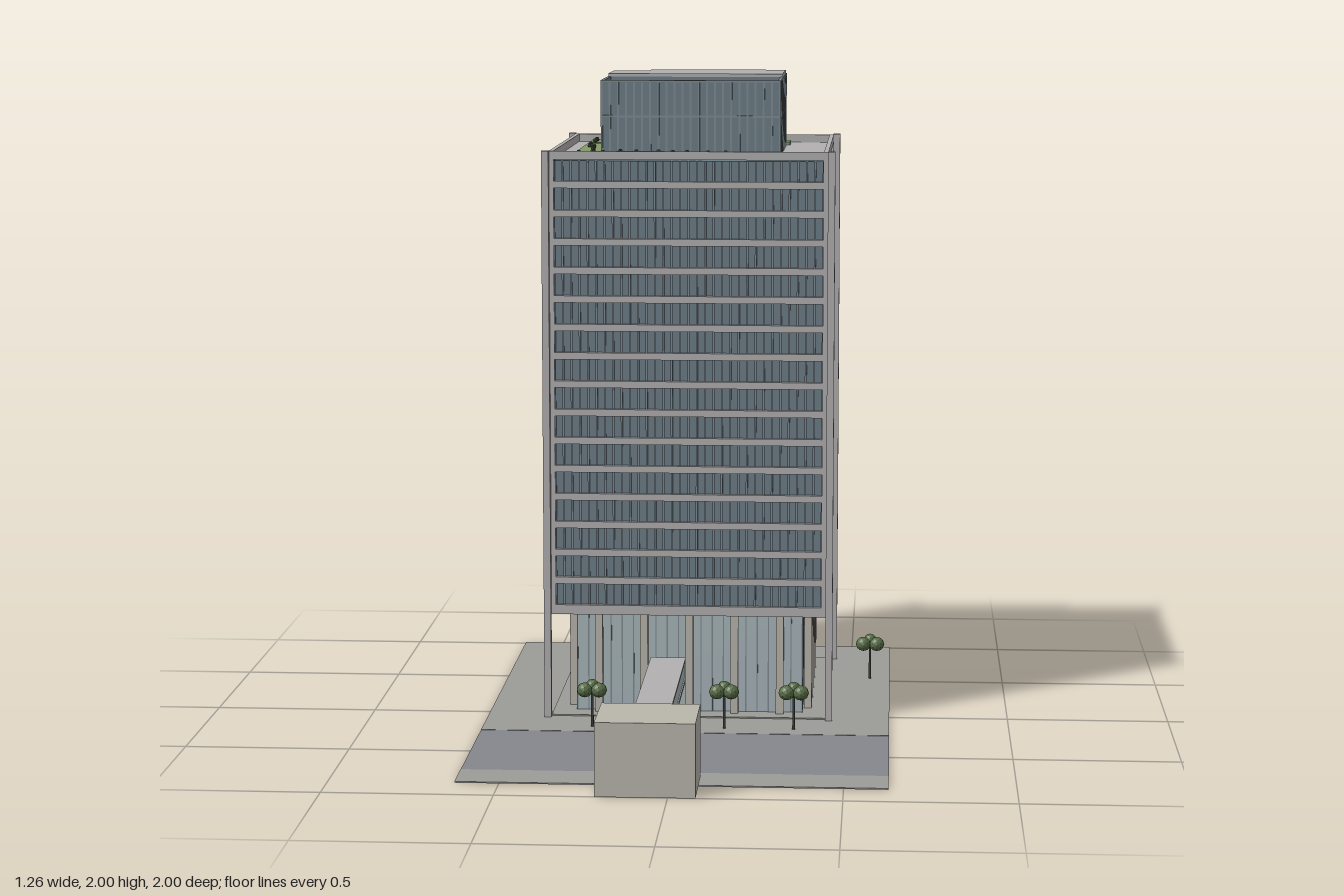
import * as THREE from 'three';
import { mergeGeometries } from 'three/addons/utils/BufferGeometryUtils.js';

const mat = (color, extra = {}) => new THREE.MeshStandardMaterial({ color, ...extra });
const M = {
  frame: mat(0xb2b0b0), glass: mat(0x6c7d87), fin: mat(0x7f8a90), lobby: mat(0xa9b7bb),
  stone: mat(0xb9b6ac), paving: mat(0x9b9b98), road: mat(0x86878d), roof: mat(0xb0b0b0),
  lawn: mat(0x84996a), shrub: mat(0x3f4a33), trunk: mat(0x3c3a34), unit: mat(0x8d8f92),
  leaf: mat(0x566b45, { flatShading: true }),
};
const CZ = -0.375;  // tower centre in z
const HALF = 0.43;  // half width of the facade
const TOP = 1.78, DECK = 1.755, SOFFIT = 0.33;

// box from min/max bounds
function span(x0, x1, y0, y1, z0, z1) {
  return new THREE.BoxGeometry(x1 - x0, y1 - y0, z1 - z0)
    .translate((x0 + x1) / 2, (y0 + y1) / 2, (z0 + z1) / 2);
}
// square-plan box around the tower axis
const ring = (h, y0, y1) => span(-h, h, y0, y1, CZ - h, CZ + h);

function add(group, name, material, geos) {
  const mesh = new THREE.Mesh(Array.isArray(geos) ? mergeGeometries(geos) : geos, material);
  mesh.name = name;
  group.add(mesh);
  return mesh;
}
// evenly spaced upright bars along a plan segment
function bars([x0, z0], [x1, z1], n, y0, y1, w) {
  return Array.from({ length: n + 1 }, (_, i) => {
    const x = x0 + (x1 - x0) * i / n, z = z0 + (z1 - z0) * i / n;
    return span(x - w / 2, x + w / 2, y0, y1, z - w / 2, z + w / 2);
  });
}
const corners = h => [[-h, CZ + h], [h, CZ + h], [h, CZ - h], [-h, CZ - h]];
// four walls of bars around the tower axis
function barRing(off, reach, n, y0, y1, w) {
  return [-1, 1].flatMap(s => [
    ...bars([-reach, CZ + s * off], [reach, CZ + s * off], n, y0, y1, w),
    ...bars([s * off, CZ - reach], [s * off, CZ + reach], n, y0, y1, w)]);
}
// plan outline raised between two heights
function prism(points, y0, y1) {
  const shape = new THREE.Shape(points.map(([x, z]) => new THREE.Vector2(x, -z)));
  return new THREE.ExtrudeGeometry(shape, { depth: y1 - y0, bevelEnabled: false })
    .rotateX(-Math.PI / 2).translate(0, y0, 0);
}

function site(g) {
  add(g, 'paving', M.paving, [span(-0.63, 0.63, 0, 0.004, -1, 0.25), span(-0.63, 0.63, 0, 0.004, 0.73, 0.87)]);
  add(g, 'road', M.road, span(-0.63, 0.63, 0, 0.003, 0.25, 0.73));
  add(g, 'plinth', M.paving, ring(0.43, 0.004, 0.008));
}

function tower(g) {
  // lobby
  add(g, 'lobbyGlass', M.lobby, ring(0.355, 0.008, SOFFIT));
  add(g, 'lobbyMullions', M.fin, barRing(0.355, 0.355, 20, 0.008, SOFFIT, 0.004));
  add(g, 'lobbyColumns', M.stone, barRing(0.372, 0.285, 4, 0.004, SOFFIT, 0.024));
  // office floors: glass core, slab edges, fins and corner posts
  const pitch = 0.0885, sill = 0.36, high = 0.067;
  add(g, 'officeGlass', M.glass, ring(HALF - 0.015, SOFFIT + 0.01, DECK - 0.005));
  const slabs = [ring(HALF, SOFFIT, sill)];
  for (let i = 0; i < 16; i++) {
    const y = sill + i * pitch + high;
    slabs.push(ring(HALF, y, i < 15 ? y + pitch - high : DECK));
  }
  add(g, 'floorBands', M.frame, slabs);
  add(g, 'windowFins', M.fin, barRing(HALF - 0.012, HALF - 0.015, 32, SOFFIT + 0.01, DECK - 0.005, 0.006));
  add(g, 'cornerPosts', M.frame, corners(HALF - 0.0075).flatMap(c => bars(c, c, 1, SOFFIT, DECK, 0.015)));
  add(g, 'cornerColumns', M.frame, corners(0.44).flatMap(c => bars(c, c, 1, 0, TOP + 0.002, 0.022)));
  // parapet
  add(g, 'parapet', M.frame, [-1, 1].flatMap(s => {
    const a = s * HALF, b = s * (HALF - 0.014), lo = Math.min(a, b), hi = Math.max(a, b);
    return [span(lo, hi, DECK, TOP, CZ - HALF, CZ + HALF),
      span(-HALF, HALF, DECK, TOP, CZ + lo, CZ + hi)];
  }));
}

function penthouse(g) {
  const top = 1.99, t = 0.008;
  const x0 = -0.28, x1 = 0.275, zf = -0.11, zm = -0.35, zb = -0.65, nx = -0.165, nz = -0.58;
  // enclosed rear part with a notched corner
  const rear = [[x0, zm], [x1, zm], [x1, zb], [nx, zb], [nx, nz], [x0, nz]];
  add(g, 'plantRoom', M.glass, prism(rear, DECK, top));
  add(g, 'plantRoomRoof', M.roof, prism(rear, top, 2));
  // open front yard with screen walls
  add(g, 'screenWalls', M.glass, [
    span(x0, x0 + t, DECK, top, zm, zf), span(x1 - t, x1, DECK, top, zm, zf), span(x0, x1, DECK, top, zf - t, zf)]);
  // fins and rails round the outline
  const outline = [[x0, zf], [x1, zf], [x1, zb], [nx, zb], [nx, nz], [x0, nz]];
  const fins = [], rails = [];
  outline.forEach((a, i) => {
    const b = outline[(i + 1) % outline.length];
    const len = Math.hypot(b[0] - a[0], b[1] - a[1]);
    fins.push(...bars(a, b, Math.round(len / 0.025), DECK, top, 0.006));
    for (const y of [1.875, top - 0.006]) {
      rails.push(span(Math.min(a[0], b[0]) - 0.003, Math.max(a[0], b[0]) + 0.003, y, y + 0.006,
        Math.min(a[1], b[1]) - 0.003, Math.max(a[1], b[1]) + 0.003));
    }
  });
  add(g, 'screenFins', M.fin, fins);
  add(g, 'screenRails', M.fin, rails);
  // cooling units in the yard
  [[-0.18, -0.27], [-0.08, -0.235], [0.075, -0.235], [0.165, -0.185]].forEach(([x, z], i) => {
    const w = i === 0 ? 0.026 : 0.032, d = i === 0 ? 0.034 : i === 3 ? 0.024 : 0.029;
    add(g, 'coolingUnit', M.unit, span(x - w, x + w, DECK, 1.81, z - d, z + d));
    add(g, 'coolingFan', M.roof, new THREE.CylinderGeometry(0.016, 0.016, 0.008, 16).translate(x, 1.814, z));
  });
}

function roofGarden(g) {
  const h = DECK + 0.01;
  const beds = [
    [[-0.365, -0.58], [-0.165, -0.58], [-0.165, -0.65], [-0.025, -0.65], [-0.025, -0.74], [-0.365, -0.74]],
    [[0.02, -0.65], [0.29, -0.65], [0.29, -0.74], [0.02, -0.74]],
    [[-0.365, -0.02], [0.19, -0.02], [0.19, -0.11], [-0.28, -0.11], [-0.28, -0.54], [-0.365, -0.54]],
  ];
  add(g, 'plantingBeds', M.lawn, beds.map(b => prism(b, DECK, h)));
  const shrubs = [[-0.345, -0.66], [-0.315, -0.71], [-0.345, -0.6], [-0.28, -0.62], [-0.235, -0.7], [-0.2, -0.69],
    [-0.12, -0.675], [0.035, -0.66], [0.065, -0.7], [0.125, -0.705], [0.21, -0.68], [-0.345, -0.44], [-0.34, -0.36],
    [-0.325, -0.33], [-0.32, -0.25], [-0.31, -0.14], [-0.305, -0.06], [-0.345, -0.035], [-0.27, -0.035],
    [-0.22, -0.085], [-0.17, -0.075], [-0.1, -0.07], [-0.055, -0.06], [-0.01, -0.05], [0.055, -0.045], [0.11, -0.035]];
  add(g, 'shrubs', M.shrub, shrubs.map(([x, z]) => new THREE.IcosahedronGeometry(0.009, 0).translate(x, h + 0.005, z)));
}

function bridge(g) {
  const x0 = -0.12, x1 = -0.01, z0 = 0.02, z1 = 0.77;
  add(g, 'bridgeGlass', M.lobby, span(x0 + 0.004, x1 - 0.004, 0.122, 0.18, z0, z1));
  add(g, 'bridgeFloor', M.frame, span(x0, x1, 0.113, 0.123, z0, z1));
  add(g, 'bridgeRoof', M.frame, span(x0, x1, 0.179, 0.188, z0, z1));
  add(g, 'bridgePiers', M.stone, [0.235, 0.47].flatMap(z => bars([x0 + 0.02, z], [x1 - 0.02, z], 1, 0, 0.115, 0.02)));
  add(g, 'entrancePavilion', M.stone, span(-0.21, 0.08, 0, 0.218, 0.76, 1));
}

function tree(x, z) {
  const t = new THREE.Group();
  t.name = 'tree';
  add(t, 'trunk', M.trunk, new THREE.CylinderGeometry(0.004, 0.005, 0.11, 6).translate(0, 0.055, 0));
  // three lobes around a small crown
  const lobes = [[0, -0.018], [-0.022, 0.012], [0.022, 0.012]].map(([lx, lz]) =>
    new THREE.IcosahedronGeometry(0.025, 1).scale(1, 0.95, 1).translate(lx, 0.122, lz));
  lobes.push(new THREE.IcosahedronGeometry(0.021, 1).translate(0, 0.133, 0));
  add(t, 'crown', M.leaf, lobes);
  t.position.set(x, 0, z);
  return t;
}

export function createModel() {
  const model = new THREE.Group();
  model.name = 'officeTower';
  for (const [name, build] of Object.entries({ site, tower, penthouse, roofGarden, bridge })) {
    const g = new THREE.Group();
    g.name = name;
    build(g);
    model.add(g);
  }
  for (const [x, z] of [[-0.29, 0.185], [0.12, 0.185], [0.335, 0.185], [0.565, -0.525]]) model.add(tree(x, z));
  return model;
}
